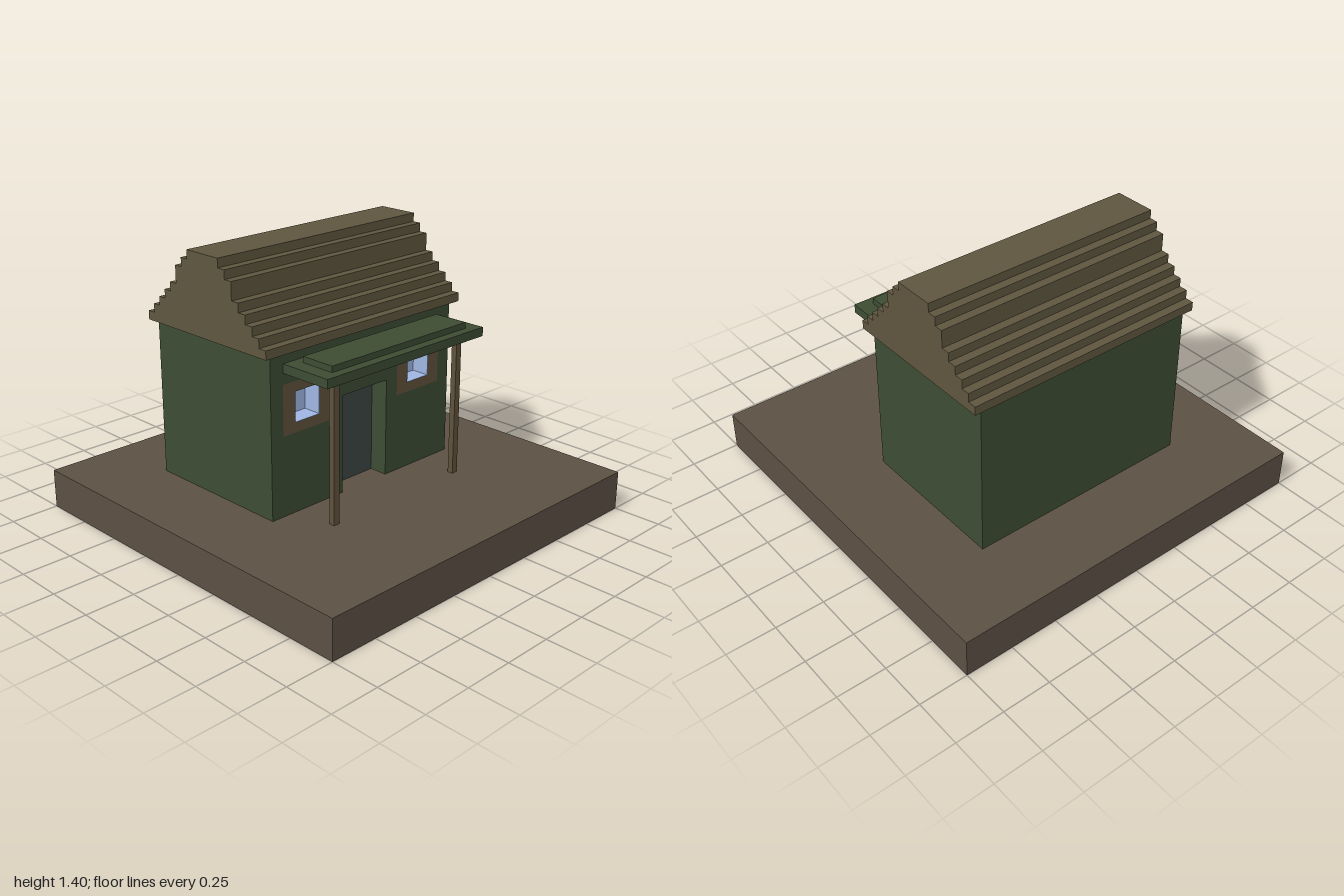
import * as THREE from 'three';

const mat = (color) => new THREE.MeshStandardMaterial({ color });

export function createModel() {
  const house = new THREE.Group();
  house.name = 'house';
  const earth = mat(0x5c5044), wall = mat(0x3d4c33), timber = mat(0x5f523d);
  const thatch = mat(0x5f563f), glass = mat(0x9fb6e3), doorMat = mat(0x3b4642);

  const add = (name, geometry, material) => {
    const mesh = new THREE.Mesh(geometry, material);
    mesh.name = name;
    house.add(mesh);
    return mesh;
  };
  // Box given by its lower and upper limits on each axis
  const block = (name, material, x0, x1, y0, y1, z0, z1) =>
    add(name, new THREE.BoxGeometry(x1 - x0, y1 - y0, z1 - z0), material)
      .position.set((x0 + x1) / 2, (y0 + y1) / 2, (z0 + z1) / 2);
  const rect = (Type, cx, cy, w, h) => new Type([
    [-1, -1], [1, -1], [1, 1], [-1, 1],
  ].map(([sx, sy]) => new THREE.Vector2(cx + sx * w / 2, cy + sy * h / 2)));
  const extrude = (shape, depth, z) =>
    new THREE.ExtrudeGeometry(shape, { depth, bevelEnabled: false }).translate(0, 0, z);

  // Ground slab and the body behind the front wall
  block('ground', earth, -1, 1, 0, 0.2, -1, 1);
  block('body', wall, -0.6, 0.6, 0.2, 1, -0.6, 0.1);

  // Front wall with a doorway notch and window openings
  const front = new THREE.Shape([
    [-0.6, 0.2], [-0.15, 0.2], [-0.15, 0.7], [0.15, 0.7],
    [0.15, 0.2], [0.6, 0.2], [0.6, 1], [-0.6, 1],
  ].map(([x, y]) => new THREE.Vector2(x, y)));
  for (const s of [-1, 1]) front.holes.push(rect(THREE.Path, s * 0.375, 0.725, 0.3, 0.25));
  add('frontWall', extrude(front, 0.1, 0.1), wall);
  block('door', doorMat, -0.15, 0.15, 0.2, 0.7, 0.09, 0.103);

  for (const s of [-1, 1]) {
    const side = s > 0 ? 'left' : 'right';
    // Flush frame with a recessed glazed niche behind it
    const frame = rect(THREE.Shape, s * 0.375, 0.725, 0.3, 0.25);
    frame.holes.push(rect(THREE.Path, s * 0.375, 0.725, 0.15, 0.15));
    add(side + 'WindowFrame', new THREE.ShapeGeometry(frame).translate(0, 0, 0.2), timber);
    add(side + 'WindowReveal', extrude(frame, 0.098, 0.1), glass);
    block(side + 'WindowPane', glass, s * 0.375 - 0.075, s * 0.375 + 0.075, 0.65, 0.8, 0.09, 0.103);
    // Porch post
    block(side + 'Post', timber, s * 0.413 - 0.017, s * 0.413 + 0.017, 0.2, 0.905, 0.398, 0.428);
  }

  // Porch canopy in two layers
  block('canopy', wall, -0.523, 0.523, 0.905, 0.95, 0.2, 0.483);
  block('canopyTop', wall, -0.448, 0.448, 0.95, 0.98, 0.25, 0.435);

  // Stepped roof: one profile swept along x, with one double-height step
  const step = 0.4 / 9, levels = [0, 1, 2, 3, 4, 5, 7, 8, 9];
  const half = [];
  for (let i = 0; i < 8; i++) {
    const w = 0.42 - i * step;
    half.push([w, 1 + levels[i] * step], [w, 1 + levels[i + 1] * step]);
  }
  const outline = [...half, ...half.map(([w, y]) => [-w, y]).reverse()];
  const profile = new THREE.Shape(outline.map(([w, y]) => new THREE.Vector2(w, y)));
  const roof = extrude(profile, 1.286, -0.643).rotateY(Math.PI / 2).translate(0, 0, -0.197);
  add('roof', roof, thatch);

  return house;
}
